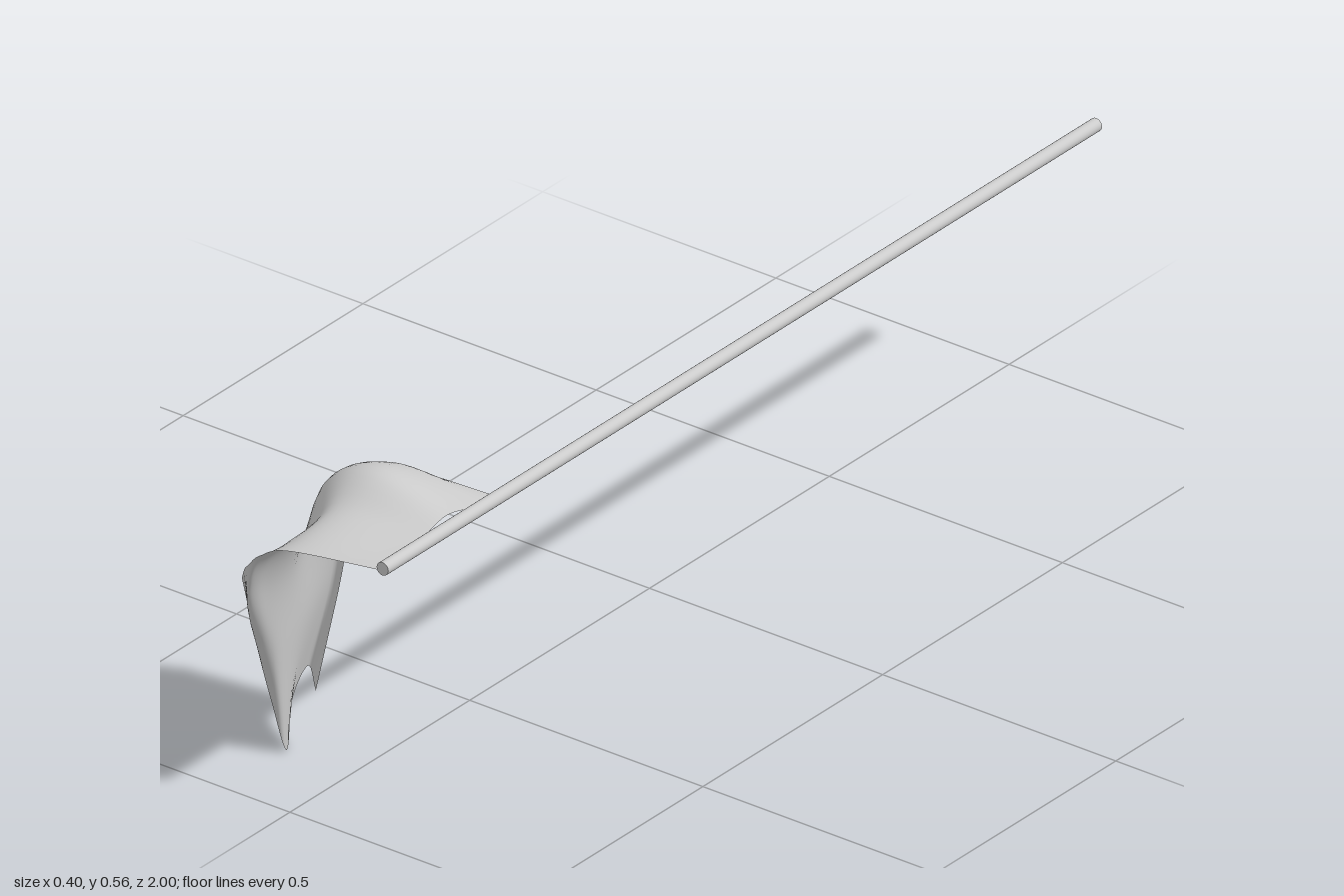
import * as THREE from 'three';

const STEPS_ALONG = 40, STEPS_ACROSS = 32;

// Lengthwise folds of the cloth, from the back edge to the front edge;
// each runs from the pole to the hanging end.
const FOLDS = [
  [.178, .505, .63, 0, .51, .655, -.07, .465, .665, -.115, .38, .675, -.14, .24, .685, -.172, .05, .705],
  [.168, .51, .68, 0, .54, .69, -.09, .49, .69, -.137, .37, .688, -.16, .24, .688, -.2, .083, .69],
  [.156, .525, .76, 0, .56, .765, -.1, .51, .765, -.14, .39, .76, -.15, .22, .76, -.18, .055, .76],
  [.156, .513, .83, 0, .52, .85, -.06, .475, .86, -.105, .37, .86, -.123, .2, .85, -.138, 0, .83],
  [.165, .508, .91, 0, .507, .94, -.07, .458, .94, -.11, .38, .93, -.124, .25, .9, -.146, .1, .86],
  [.172, .51, .95, 0, .505, .985, -.075, .457, .975, -.115, .385, .96, -.14, .3, .93, -.162, .21, .88],
  [.178, .512, .967, 0, .505, 1, -.07, .47, .992, -.11, .43, .973, -.14, .4, .945, -.18, .35, .9],
];

function smoothCurve(points) {
  return new THREE.CatmullRomCurve3(points, false, 'catmullrom', 0.5);
}

// Cloth surface lofted across the fold curves
function clothGeometry() {
  const rails = FOLDS.map((f) => {
    const pts = [];
    for (let i = 0; i < f.length; i += 3) pts.push(new THREE.Vector3(f[i], f[i + 1], f[i + 2]));
    return smoothCurve(pts);
  });
  const pos = [], index = [];
  for (let i = 0; i <= STEPS_ALONG; i++) {
    const section = smoothCurve(rails.map((r) => r.getPoint(i / STEPS_ALONG)));
    for (let j = 0; j <= STEPS_ACROSS; j++) pos.push(...section.getPoint(j / STEPS_ACROSS).toArray());
  }
  const row = STEPS_ACROSS + 1;
  for (let i = 0; i < STEPS_ALONG; i++) {
    for (let j = 0; j < STEPS_ACROSS; j++) {
      const a = i * row + j, b = a + 1, c = a + row, d = c + 1;
      index.push(a, c, b, b, c, d);
    }
  }
  const geo = new THREE.BufferGeometry();
  geo.setAttribute('position', new THREE.Float32BufferAttribute(pos, 3));
  geo.setIndex(index);
  geo.computeVertexNormals();
  return geo;
}

export function createModel() {
  const group = new THREE.Group();
  group.name = 'flagOnPole';

  // Long horizontal pole
  const poleGeo = new THREE.CylinderGeometry(.0125, .0125, 1.985, 24);
  poleGeo.rotateX(Math.PI / 2);
  const pole = new THREE.Mesh(poleGeo, new THREE.MeshStandardMaterial({ color: 0xcccccc }));
  pole.name = 'pole';
  pole.position.set(.187, .527, -.0075);
  group.add(pole);

  // Drooping cloth beside the front end of the pole
  const cloth = new THREE.Mesh(
    clothGeometry(),
    new THREE.MeshStandardMaterial({ color: 0xcccccc, side: THREE.DoubleSide })
  );
  cloth.name = 'flagCloth';
  group.add(cloth);

  return group;
}
